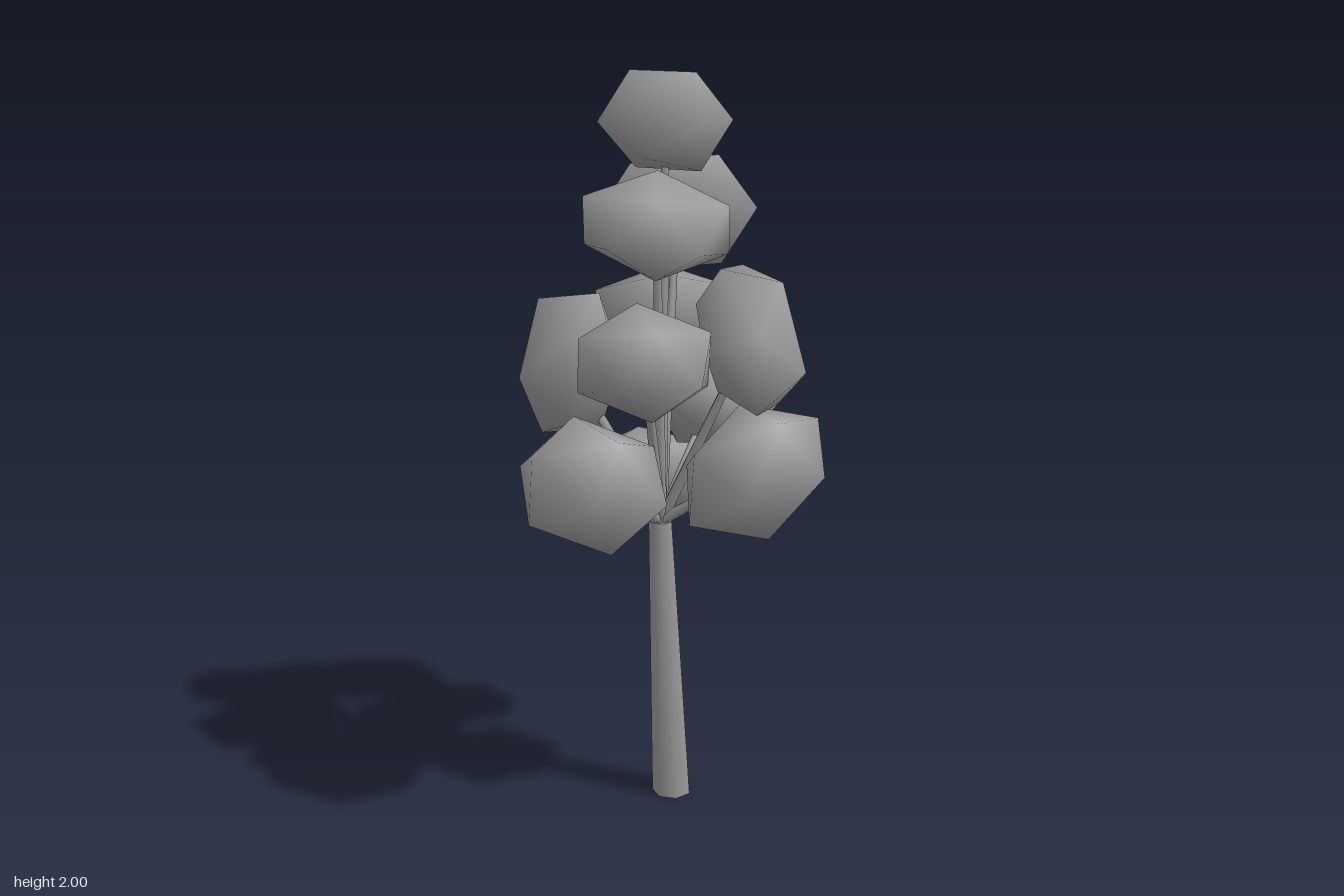
import * as THREE from 'three';
import { mergeVertices } from 'three/addons/utils/BufferGeometryUtils.js';

// Leaf clumps: x, y, z range, slant in the xy, zy and xz planes, roll and yaw
const UP = Math.PI / 2;
const CLUMPS = [
  { x: [-0.155, 0.19], y: [1.75, 2.0], z: [-0.14, 0.14], slant: [-0.05, 0, 0.1], roll: 0, yaw: -0.6 },
  { x: [-0.225, 0.135], y: [1.505, 1.76], z: [0.03, 0.34], slant: [-0.05, -0.4, 0], roll: UP, yaw: -0.2 },
  { x: [-0.145, 0.3], y: [1.47, 1.785], z: [-0.28, 0.01], slant: [0.05, 0.25, 0.25], roll: 0, yaw: -0.4 },
  { x: [0.06, 0.335], y: [1.165, 1.52], z: [0.0, 0.365], slant: [-0.1, -0.3, 0], roll: 0, yaw: -0.2 },
  { x: [-0.26, 0.07], y: [1.175, 1.445], z: [0.13, 0.42], slant: [0, -0.2, 0.05], roll: UP, yaw: 0.05 },
  { x: [-0.37, -0.08], y: [1.04, 1.435], z: [-0.27, 0.1], slant: [0.05, 0.1, 0], roll: 0, yaw: -0.25 },
  { x: [-0.12, 0.27], y: [1.17, 1.465], z: [-0.42, -0.1], slant: [0, 0.1, 0.1], roll: UP, yaw: -0.15 },
  { x: [0.01, 0.35], y: [0.975, 1.275], z: [-0.25, 0.01], slant: [-0.1, 0, -0.05], roll: 0, yaw: 0.1 },
  { x: [-0.16, 0.22], y: [0.8, 1.015], z: [-0.335, -0.03], slant: [-0.2, 0, -0.1], roll: UP, yaw: 0.4 },
  { x: [-0.39, -0.05], y: [0.825, 1.155], z: [0.05, 0.405], slant: [-0.1, 0, 0], roll: UP, yaw: 0.4 },
  { x: [0.03, 0.387], y: [0.83, 1.16], z: [0.05, 0.37], slant: [0.2, 0, 0], roll: UP, yaw: 0.25 },
];

// Low-poly clump with smooth normals, slanted and fitted to its range
function clumpGeometry({ x, y, z, slant: [xy, zy, xz], roll, yaw }) {
  const raw = new THREE.IcosahedronGeometry(1, 0);
  raw.deleteAttribute('normal');
  raw.deleteAttribute('uv');
  const geometry = mergeVertices(raw);
  geometry.rotateZ(roll).rotateX(0.12).rotateY(yaw);
  geometry.applyMatrix4(new THREE.Matrix4().set(
    1, 0, 0, 0,
    xy, 1, zy, 0,
    xz, 0, 1, 0,
    0, 0, 0, 1));
  geometry.computeBoundingBox();
  const { min, max } = geometry.boundingBox;
  geometry.translate(-min.x, -min.y, -min.z);
  geometry.scale(
    (x[1] - x[0]) / (max.x - min.x),
    (y[1] - y[0]) / (max.y - min.y),
    (z[1] - z[0]) / (max.z - min.z));
  geometry.translate(x[0], y[0], z[0]);
  geometry.computeVertexNormals();
  return geometry;
}

// Tapered branch between two points
function branch(from, to, material) {
  const dir = to.clone().sub(from);
  const mesh = new THREE.Mesh(new THREE.CylinderGeometry(0.01, 0.017, dir.length(), 5), material);
  mesh.name = 'branch';
  mesh.position.copy(from).add(to).multiplyScalar(0.5);
  mesh.quaternion.setFromUnitVectors(new THREE.Vector3(0, 1, 0), dir.normalize());
  return mesh;
}

export function createModel() {
  const tree = new THREE.Group();
  tree.name = 'tree';
  const grey = new THREE.MeshStandardMaterial({ color: 0x999999 });
  grey.name = 'grey';

  // Trunk, leaning slightly, with level ends
  const height = 0.82;
  const foot = new THREE.Vector3(0.032, 0, 0.033);
  const fork = new THREE.Vector3(-0.002, height, 0.037);
  const lean = fork.clone().sub(foot).divideScalar(height);
  const trunkGeometry = new THREE.CylinderGeometry(0.033, 0.056, height, 7);
  trunkGeometry.translate(0, height / 2, 0);
  trunkGeometry.applyMatrix4(new THREE.Matrix4().set(
    1, lean.x, 0, foot.x,
    0, 1, 0, 0,
    0, lean.z, 1, foot.z,
    0, 0, 0, 1));
  const trunk = new THREE.Mesh(trunkGeometry, grey);
  trunk.name = 'trunk';
  tree.add(trunk);

  // Branches fanning out from the trunk top, each carrying a clump
  const mid = ([low, high]) => (low + high) / 2;
  for (const clump of CLUMPS) {
    const tip = new THREE.Vector3(mid(clump.x), mid(clump.y), mid(clump.z));
    tree.add(branch(fork, tip, grey));
    const leaves = new THREE.Mesh(clumpGeometry(clump), grey);
    leaves.name = 'leafClump';
    tree.add(leaves);
  }
  return tree;
}
